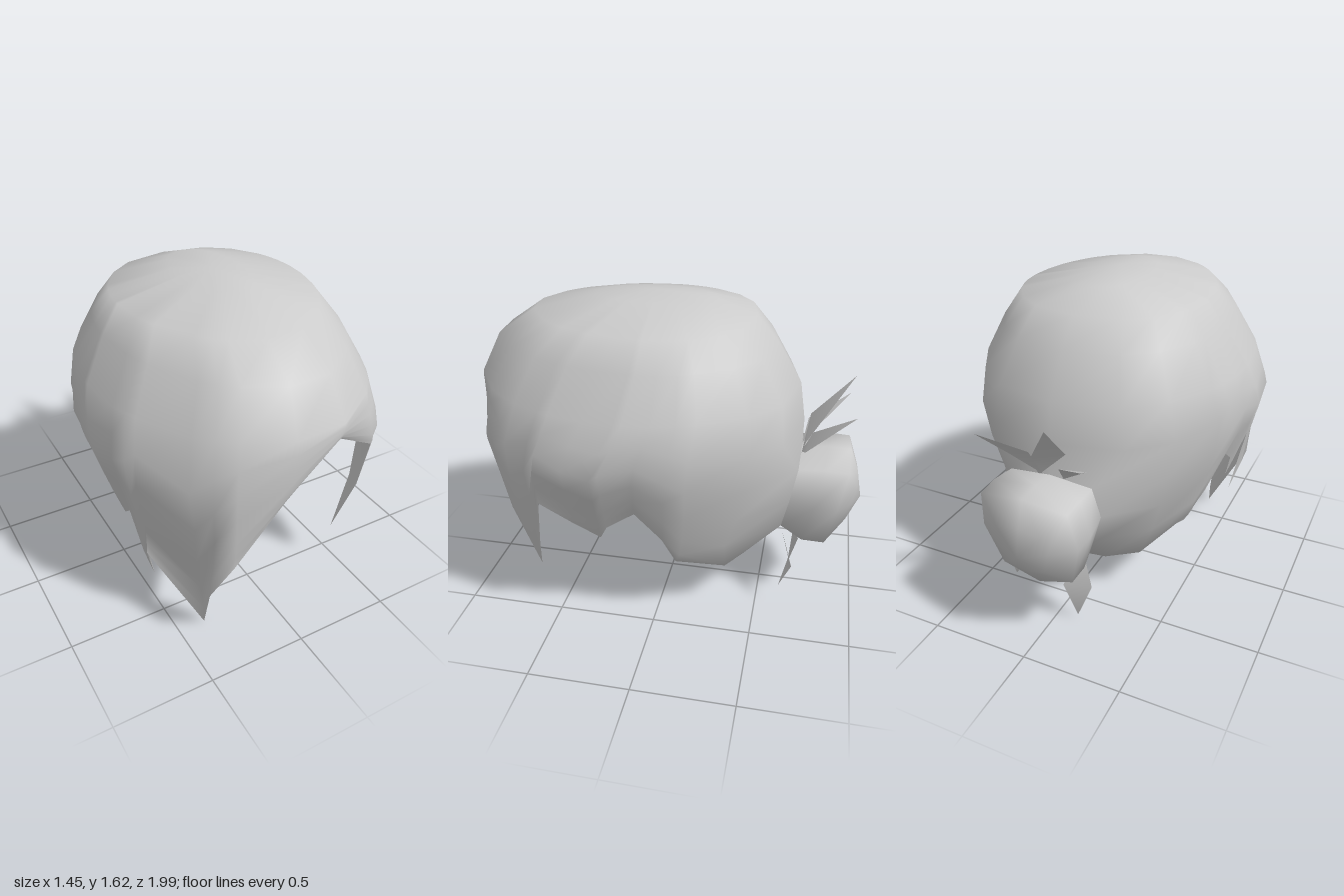
import * as THREE from 'three';
import { mergeVertices } from 'three/addons/utils/BufferGeometryUtils.js';

const material = new THREE.MeshStandardMaterial({ color: 0xcccccc, side: THREE.DoubleSide });

// Head outline by height: [y, half width, front z, back z, z of the widest point]
const OUTLINE = [
  [1.63, 0, 0.1, 0.1, 0.1], [1.605, 0.16, 0.38, -0.22, 0.08], [1.53, 0.47, 0.7, -0.42, 0.07],
  [1.4, 0.56, 0.89, -0.53, 0.09], [1.2, 0.67, 0.99, -0.65, 0.14], [0.97, 0.73, 1.02, -0.69, 0.25],
  [0.62, 0.63, 0.95, -0.66, 0.25], [0.42, 0.57, 0.85, -0.6, 0.25], [0.22, 0.45, 0.75, -0.42, 0.25],
  [0, 0.38, 0.7, -0.3, 0.25],
];

function outlineAt(y) {
  let i = 0;
  while (i < OUTLINE.length - 2 && OUTLINE[i + 1][0] > y) i++;
  const a = OUTLINE[i], b = OUTLINE[i + 1];
  const t = (a[0] - y) / (a[0] - b[0]);
  return [1, 2, 3, 4].map((k) => a[k] + (b[k] - a[k]) * t);
}

// Slightly pointed ellipse in front, fuller one behind
function headPoint(angle, y) {
  const [w, front, back, mid] = outlineAt(y);
  const c = Math.cos(angle), s = Math.sin(angle);
  const x = w * Math.sign(s) * Math.abs(s) ** (c > 0 ? 1.1 : 0.87);
  return new THREE.Vector3(x, y, mid + c * (c > 0 ? front - mid : mid - back));
}

function angleOf([x, y, z]) {
  const [w, front, back, mid] = outlineAt(y);
  return Math.atan2(x / w, (z - mid) / (z > mid ? front - mid : mid - back));
}

function meshFrom(name, points, index) {
  let geometry = new THREE.BufferGeometry().setFromPoints(points);
  geometry.setIndex(index);
  geometry = mergeVertices(geometry);
  geometry.computeVertexNormals();
  const mesh = new THREE.Mesh(geometry, material);
  mesh.name = name;
  return mesh;
}

// Lower hair edge, running from the fringe past the left side, nape and right side
const NAPE_SIDE = [
  [0.6, 0.62, 0.2], [0.61, 0.72, 0.06], [0.55, 0.55, -0.06],
  [0.46, 0.37, -0.11], [0.28, 0.25, -0.2], [0.14, 0.23, -0.21],
];
const EDGE = [
  [0.17, 1.09, 0.91], [0.43, 0.93, 0.84], [0.48, 0.6, 0.73], [0.45, 0.25, 0.61],
  [0.59, 0.48, 0.55], [0.64, 0.74, 0.52], [0.61, 0.63, 0.36], [0.57, 0.54, 0.24],
  ...NAPE_SIDE, [0, 0.22, -0.22],
  ...NAPE_SIDE.map(([x, y, z]) => [-x, y, z]).reverse(),
  [-0.57, 0.49, 0.24], [-0.62, 0.66, 0.43], [-0.53, 0.25, 0.47], [-0.6, 0.48, 0.55],
  [-0.36, 0.01, 0.67], [-0.42, 0.36, 0.83], [-0.36, 0.6, 0.94], [-0.12, 0.88, 0.95],
];

// Eight-sided bun ring, clockwise from the top as seen from behind, leaning back at the top
const RING_SHAPE = [[0, 0.95], [0.88, 0.85], [1, 0.1], [0.75, -0.75], [0, -1], [-0.75, -0.75], [-1, 0.1], [-0.88, 0.85]];
function bunRing(rx, ry, midY, z, lean) {
  return RING_SHAPE.map(([x, y]) => new THREE.Vector3(x * rx, midY + y * ry, z - lean * y * ry));
}
const BUN_OPENING = bunRing(0.24, 0.22, 0.635, -0.64, 0.19);

// Hair shell: columns from the crown down to the ragged edge, open where the bun joins
function hairCap() {
  const top = [1.63, 1.605, 1.53, 1.4, 1.2], lower = [0.2, 0.4, 0.6, 0.8, 0.92, 1];
  const rows = top.length + lower.length, cols = EDGE.length;
  const points = [], index = [];
  for (const edge of EDGE) {
    const angle = angleOf(edge);
    for (const y of top) points.push(headPoint(angle, y));
    const offset = new THREE.Vector3(...edge).sub(headPoint(angle, edge[1]));
    for (const t of lower) {
      points.push(headPoint(angle, 1.2 + (edge[1] - 1.2) * t).addScaledVector(offset, t ** 2.5));
    }
  }
  // Fit the grid to the rim of the bun, then curl the nape under
  const nape = EDGE.findIndex((p) => p[0] === 0);
  const rim = [[0, 6], [-1, 6], [-1, 7], [-1, 8], [0, 8], [1, 8], [1, 7], [1, 6]];
  rim.forEach(([c, r], s) => points[(nape + c) * rows + r].copy(BUN_OPENING[s]));
  const curl = [[0, 0.23, -0.42], [0.15, 0.24, -0.41], [0.31, 0.27, -0.34]];
  curl.forEach(([x, y, z], i) => {
    points[(nape - i) * rows + 9].set(x, y, z);
    points[(nape + i) * rows + 9].set(-x, y, z);
  });
  for (let c = 0; c < cols; c++) {
    for (let r = 0; r < rows - 1; r++) {
      const inHole = (c === nape || c === nape - 1) && (r === 6 || r === 7);
      if (inHole) continue;
      const a = c * rows + r, d = ((c + 1) % cols) * rows + r;
      if (r > 0) index.push(a, a + 1, d);
      index.push(a + 1, d + 1, d);
    }
  }
  return meshFrom('hairCap', points, index);
}

// Bun: rings from the opening to the rear point
function bun() {
  const rings = [
    BUN_OPENING,
    bunRing(0.25, 0.27, 0.605, -0.76, 0.2),
    bunRing(0.245, 0.27, 0.6, -0.875, 0.21),
    bunRing(0.13, 0.135, 0.6, -0.95, 0.19),
    bunRing(0, 0, 0.59, -1, 0),
  ];
  const sides = RING_SHAPE.length, index = [];
  for (let i = 0; i < rings.length - 1; i++) {
    for (let s = 0; s < sides; s++) {
      const a = i * sides + s, b = i * sides + ((s + 1) % sides);
      index.push(a, b, a + sides);
      if (i < rings.length - 2) index.push(b, b + sides, a + sides);
    }
  }
  return meshFrom('bun', rings.flat(), index);
}

// Loose tuft: root point, two bent side points and a tip
function tuft(name, root, left, right, tip) {
  const points = [root, left, right, tip].map((p) => new THREE.Vector3(...p));
  return meshFrom(name, points, [0, 2, 1, 1, 2, 3]);
}

export function createModel() {
  const group = new THREE.Group();
  group.name = 'hair';
  group.add(hairCap(), bun());
  group.add(
    tuft('upperTuftRight', [-0.07, 0.84, -0.68], [-0.2, 0.92, -0.7], [-0.09, 0.94, -0.76], [-0.28, 1.05, -0.91]),
    tuft('upperTuftMiddle', [0.06, 0.83, -0.68], [-0.1, 0.99, -0.71], [0.09, 0.92, -0.7], [-0.12, 1.21, -0.92]),
    tuft('upperTuftLeft', [0.04, 0.84, -0.68], [0.08, 0.97, -0.73], [0.21, 0.92, -0.7], [0.22, 1.13, -0.93]),
    tuft('lowerTuftRight', [-0.12, 0.43, -0.61], [-0.2, 0.25, -0.67], [-0.06, 0.24, -0.7], [-0.11, 0.03, -0.65]),
    tuft('lowerTuftLeft', [0.13, 0.43, -0.61], [0.17, 0.27, -0.66], [0.25, 0.27, -0.68], [0.26, 0.15, -0.62]),
  );
  return group;
}
